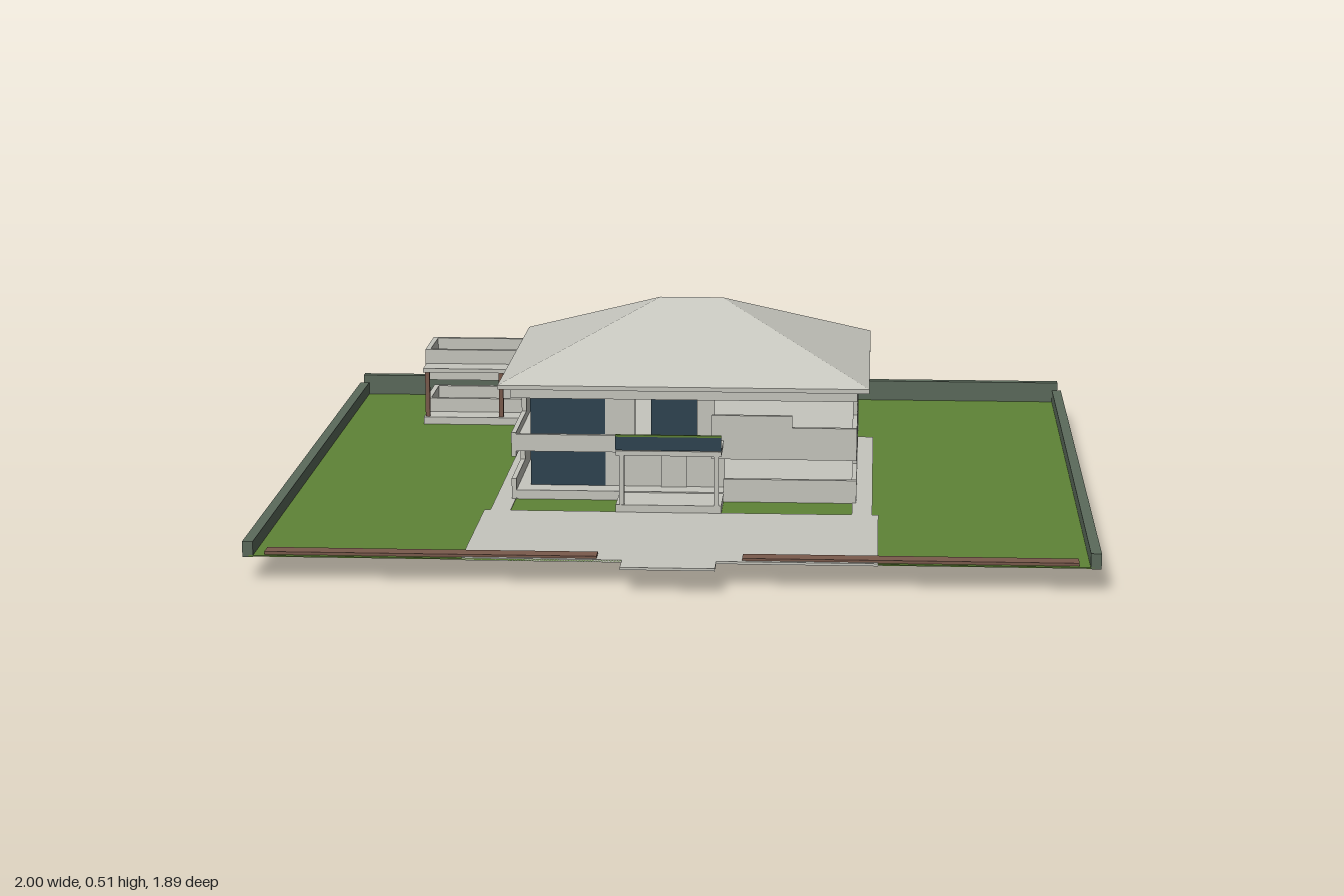
import * as THREE from 'three';

const mat = (name, color) => {
  const m = new THREE.MeshStandardMaterial({ color });
  m.name = name;
  return m;
};

export function createModel() {
  const root = new THREE.Group();
  root.name = 'villa';
  const concrete = mat('concrete', 0xc6c6be);
  const grass = mat('grass', 0x5f8336);
  const glass = mat('glass', 0x2f4351);
  const hedge = mat('hedgeWall', 0x5b6a5b);
  const brown = mat('brownWood', 0x7a5a4c);

  const group = (name) => {
    const g = new THREE.Group();
    g.name = name;
    root.add(g);
    return g;
  };
  // Box given by its limits
  const box = (parent, name, m, x0, x1, y0, y1, z0, z1) => {
    const mesh = new THREE.Mesh(new THREE.BoxGeometry(x1 - x0, y1 - y0, z1 - z0), m);
    mesh.position.set((x0 + x1) / 2, (y0 + y1) / 2, (z0 + z1) / 2);
    mesh.name = name;
    parent.add(mesh);
  };
  // Four thin walls around a rectangle
  const tray = (parent, name, x0, x1, y0, y1, z0, z1, t) => {
    for (const [a, b] of [[x0, x0 + t], [x1 - t, x1]]) box(parent, name, concrete, a, b, y0, y1, z0, z1);
    for (const [a, b] of [[z0, z0 + t], [z1 - t, z1]]) box(parent, name, concrete, x0 + t, x1 - t, y0, y1, a, b);
  };

  // Plot, paving and boundary
  const plot = group('plot');
  box(plot, 'lawn', grass, -0.985, 0.985, 0.057, 0.06, -0.93, 0.88);
  const pave = (name, x0, x1, z0, z1) => box(plot, name, concrete, x0, x1, 0.0555, 0.0615, z0, z1);
  pave('driveway', -0.485, 0.485, 0.42, 0.88);
  pave('entranceApron', -0.11, 0.11, 0.88, 0.945);
  pave('backPath', -0.47, 0.47, -0.443, -0.395);
  for (const s of [-1, 1]) {
    pave('sidePath', Math.min(s * 0.42, s * 0.47), Math.max(s * 0.42, s * 0.47), -0.395, 0.42);
    box(plot, 'sideWall', hedge, s > 0 ? 0.975 : -1, s > 0 ? 1 : -0.975, 0.056, 0.093, -0.925, 0.88);
    box(plot, 'frontFence', brown, s > 0 ? 0.17 : -0.95, s > 0 ? 0.95 : -0.17, 0.058, 0.067, 0.828, 0.87);
  }
  box(plot, 'backWall', hedge, -0.99, 0.99, 0.056, 0.115, -0.95, -0.925);
  pave('poolDeck', -0.283, 0.283, -0.76, -0.46);
  box(plot, 'poolBasin', concrete, -0.228, 0.228, 0, 0.058, -0.703, -0.51);

  // Garden pavilion with two parapet trays and a porch
  const pav = group('pavilion');
  tray(pav, 'upperParapet', -0.768, -0.338, 0.17, 0.255, -0.79, -0.61, 0.014);
  box(pav, 'pavilionRoof', concrete, -0.756, -0.35, 0.2, 0.215, -0.778, -0.622);
  tray(pav, 'lowerParapet', -0.768, -0.338, 0.06, 0.118, -0.79, -0.61, 0.014);
  box(pav, 'pavilionStep', concrete, -0.765, -0.34, 0.06, 0.08, -0.61, -0.54);
  box(pav, 'porchSlab', concrete, -0.765, -0.34, 0.205, 0.216, -0.61, -0.54);
  for (const x of [-0.755, -0.552]) box(pav, 'porchPost', brown, x - 0.006, x + 0.006, 0.08, 0.205, -0.56, -0.548);

  // Floors
  const house = group('house');
  const wall = (name, ...r) => box(house, name, concrete, ...r);
  const pane = (...r) => box(house, 'window', glass, ...r);
  wall('groundFloor', -0.425, 0.425, 0.06, 0.083, -0.395, 0.298);
  wall('upperFloor', -0.425, 0.425, 0.187, 0.21, -0.395, 0.298);
  wall('roofSlab', -0.43, 0.43, 0.318, 0.346, -0.4, 0.3);

  // Side parapets and low walls, as [z0, z1, bottom, top]
  const sides = [
    [0.05, 0.3, 0.169, 0.23], [-0.19, 0.05, 0.169, 0.276], [-0.4, -0.19, 0.169, 0.245],
    [0.09, 0.3, 0.06, 0.113], [-0.145, 0.09, 0.06, 0.138], [-0.4, -0.358, 0.06, 0.169],
  ];
  for (const s of [-1, 1]) {
    const a = s > 0 ? 0.418 : -0.43, b = s > 0 ? 0.43 : -0.418;
    for (const [z0, z1, y0, y1] of sides) wall('sideParapet', a, b, y0, y1, z0, z1);
    for (const z of [-0.213, -0.284, -0.355]) {
      pane(a + 0.003, b - 0.003, 0.083, 0.18, z, z + 0.064);
      wall('mullion', a, b, 0.083, 0.187, z + 0.064, z + 0.071);
    }
    wall('cornerPost', a, b, 0.24, 0.32, -0.4, -0.388);
  }

  // Front parapets
  wall('frontBalcony', -0.43, -0.16, 0.183, 0.226, 0.288, 0.3);
  wall('frontBalcony', -0.16, 0.08, 0.183, 0.215, 0.288, 0.3);
  wall('frontParapet', 0.07, 0.27, 0.169, 0.28, 0.288, 0.3);
  wall('frontParapet', 0.27, 0.43, 0.169, 0.25, 0.288, 0.3);
  wall('frontLowWall', 0.1, 0.43, 0.06, 0.118, 0.288, 0.3);

  // Glazed corner room on two storeys, set back from the slabs
  for (const [y0, y1] of [[0.083, 0.187], [0.21, 0.318]]) {
    pane(-0.385, -0.2, y0, y1, 0.234, 0.24);
    pane(-0.388, -0.382, y0, y1, 0.155, 0.24);
    pane(-0.388, -0.382, y0, y1, 0.055, 0.142);
    wall('mullion', -0.39, -0.38, y0, y1, 0.142, 0.155);
    pane(-0.388, -0.382, y0 + 0.06, y1, -0.05, 0.042);
    wall('mullion', -0.39, -0.38, y0, y1, 0.042, 0.055);
    wall('sillWall', -0.39, -0.38, y0, y0 + 0.06, -0.05, 0.042);
  }

  // Entrance wall and door
  wall('entranceWall', -0.2, 0.1, 0.083, 0.187, 0.226, 0.24);
  wall('door', -0.06, 0.005, 0.083, 0.183, 0.24, 0.247);
  wall('upperWall', -0.2, -0.125, 0.21, 0.318, 0.226, 0.24);
  wall('upperWall', 0.03, 0.075, 0.21, 0.318, 0.226, 0.24);
  pane(-0.085, 0.03, 0.21, 0.318, 0.23, 0.236);

  // Back walls
  wall('backParapet', -0.43, 0.43, 0.169, 0.245, -0.4, -0.388);
  wall('backLowWall', 0.1, 0.43, 0.06, 0.116, -0.4, -0.388);
  wall('backWall', -0.43, 0.21, 0.06, 0.187, -0.4, -0.388);
  pane(0.21, 0.32, 0.116, 0.18, -0.397, -0.391);
  wall('backUpperWall', -0.2, 0.08, 0.245, 0.318, -0.4, -0.388);

  // Entrance porch with balcony balustrade
  const porch = group('porch');
  box(porch, 'porchStep', concrete, -0.16, 0.1, 0.06, 0.08, 0.298, 0.425);
  box(porch, 'porchRoof', concrete, -0.16, 0.1, 0.204, 0.216, 0.298, 0.425);
  for (const x of [-0.145, 0.088]) box(porch, 'porchPost', concrete, x - 0.006, x + 0.006, 0.08, 0.204, 0.41, 0.424);
  box(porch, 'balustradeGlass', glass, -0.16, 0.1, 0.218, 0.252, 0.423, 0.427);
  box(porch, 'balustradeRail', grass, -0.16, 0.1, 0.252, 0.257, 0.422, 0.428);

  // Hipped roof above a shallow eave
  const roof = group('roof');
  box(roof, 'eave', concrete, -0.46, 0.46, 0.345, 0.356, -0.434, 0.328);
  const [w, zb, zf, zr, y, top, r] = [0.46, -0.434, 0.328, -0.056, 0.356, 0.512, 0.08];
  const FL = [-w, y, zf], FR = [w, y, zf], BL = [-w, y, zb], BR = [w, y, zb];
  const RL = [-r, top, zr], RR = [r, top, zr];
  const faces = [FL, FR, RR, FL, RR, RL, BR, BL, RL, BR, RL, RR, FR, BR, RR, BL, FL, RL];
  const geo = new THREE.BufferGeometry();
  geo.setAttribute('position', new THREE.Float32BufferAttribute(faces.flat(), 3));
  geo.computeVertexNormals();
  const hip = new THREE.Mesh(geo, concrete);
  hip.name = 'hippedRoof';
  roof.add(hip);

  return root;
}
